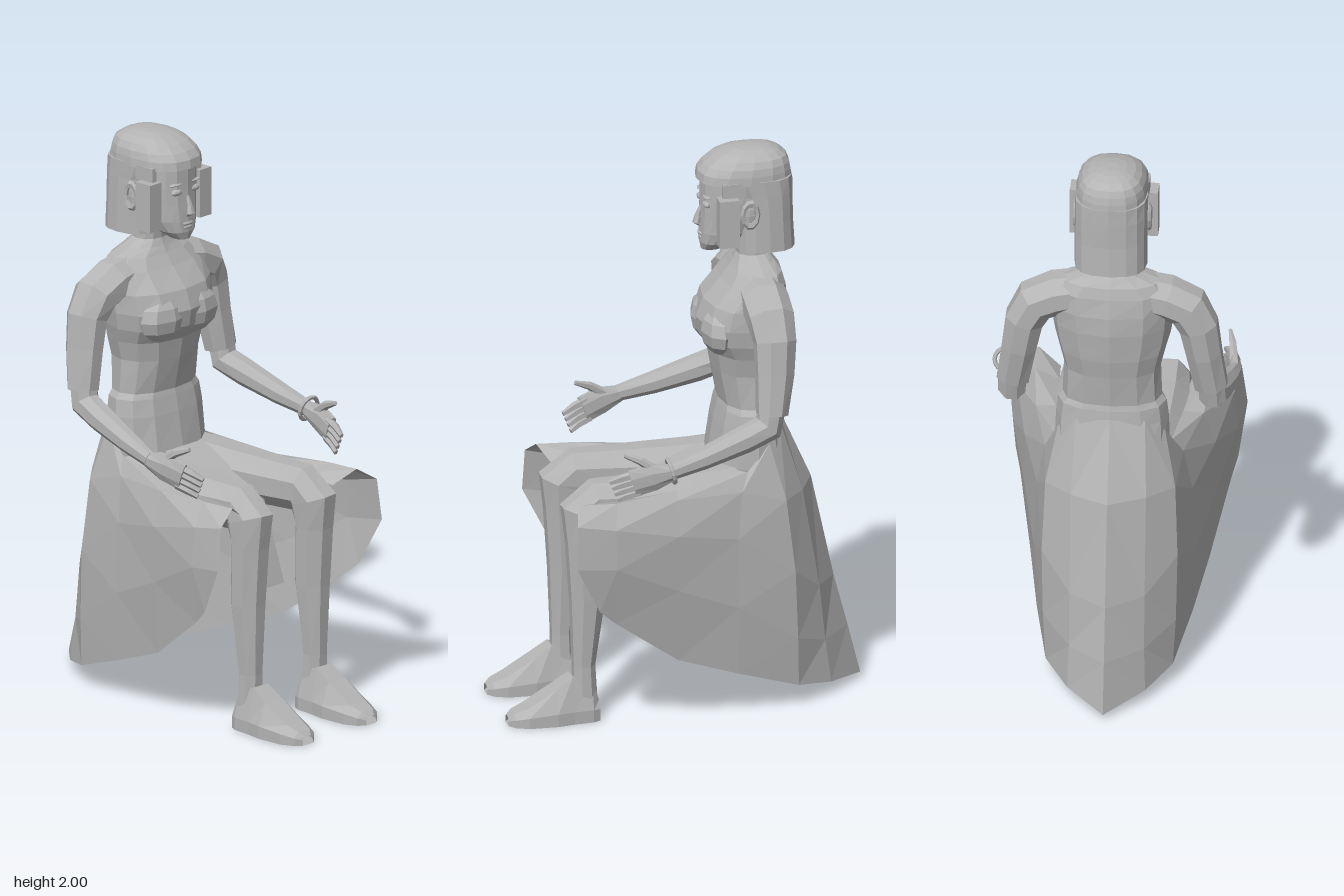
import * as THREE from 'three';

const grey = new THREE.MeshStandardMaterial({ color: 0xb4b4b4, side: THREE.DoubleSide });
grey.name = 'plain grey';

// faceted mesh from shared points and triangle indices
function faceted(name, points, index) {
  const g = new THREE.BufferGeometry().setFromPoints(points);
  g.setIndex(index);
  return mesh(name, g);
}
function mesh(name, geometry) {
  const g = geometry.index ? geometry.toNonIndexed() : geometry;
  g.computeVertexNormals();
  const m = new THREE.Mesh(g, grey);
  m.name = name;
  return m;
}

// rings [x, y, z, a, b] swept along their centres; a lies along ref, b across it;
// pow below 1 squares the cross-section
function loft(name, rings, { n = 8, ref = [1, 0, 0], dir = null, turn = Math.PI / n, pow = 1 } = {}) {
  const pts = [], idx = [], k = pow < 1 ? 1 : 1 / Math.cos(turn);
  const c = rings.map(r => new THREE.Vector3(r[0], r[1], r[2]));
  const last = rings.length - 1;
  const round = v => Math.sign(v) * Math.abs(v) ** pow * k;
  rings.forEach((r, i) => {
    const t = dir ? new THREE.Vector3(...dir)
      : c[Math.min(i + 1, last)].clone().sub(c[Math.max(i - 1, 0)]).normalize();
    const side = new THREE.Vector3(...ref);
    side.addScaledVector(t, -side.dot(t)).normalize();
    const nrm = t.clone().cross(side);
    for (let j = 0; j < n; j++) {
      const q = turn + j / n * Math.PI * 2;
      pts.push(c[i].clone().addScaledVector(side, r[3] * round(Math.cos(q)))
        .addScaledVector(nrm, r[4] * round(Math.sin(q))));
    }
  });
  for (let i = 0; i < last; i++) for (let j = 0; j < n; j++) {
    const a = i * n + j, b = i * n + (j + 1) % n;
    idx.push(a, b, b + n, a, b + n, a + n);
  }
  for (let j = 1; j < n - 1; j++) {
    idx.push(0, j + 1, j, last * n, last * n + j, last * n + j + 1);
  }
  return faceted(name, pts, idx);
}
// horizontal rings [y, z, halfWidth, halfDepth]
const stack = (name, rows, n, pow = 1) =>
  loft(name, rows.map(([y, z, a, b]) => [0, y, z, a, b]), { n, turn: 0, pow, dir: [0, 1, 0] });

// open sheet through columns of points
function sheet(name, cols, flip) {
  const h = cols[0].length, idx = [];
  for (let i = 0; i < cols.length - 1; i++) for (let j = 0; j < h - 1; j++) {
    const a = i * h + j, b = a + h;
    if (flip) idx.push(a, b, b + 1, a, b + 1, a + 1);
    else idx.push(a, b + 1, b, a, a + 1, b + 1);
  }
  return faceted(name, cols.flat().map(p => new THREE.Vector3(...p)), idx);
}
function blob(name, [x, y, z], [a, b, c]) {
  return mesh(name, new THREE.SphereGeometry(1, 8, 6).scale(a, b, c).translate(x, y, z));
}

export function createModel() {
  const model = new THREE.Group();
  model.name = 'seatedFigure';
  const body = new THREE.Group();
  body.name = 'body';
  body.position.x = -0.015;
  model.add(body);
  const add = (...m) => body.add(...m);

  // torso and neck
  add(stack('torso', [
    [0.72, -0.2, 0.17, 0.13], [0.87, -0.24, 0.2, 0.14], [1.0, -0.237, 0.195, 0.115],
    [1.06, -0.24, 0.188, 0.105], [1.08, -0.24, 0.172, 0.1], [1.2, -0.235, 0.168, 0.12],
    [1.27, -0.235, 0.185, 0.132], [1.32, -0.222, 0.2, 0.15], [1.38, -0.22, 0.21, 0.158],
    [1.45, -0.232, 0.215, 0.145], [1.52, -0.258, 0.21, 0.108], [1.56, -0.267, 0.17, 0.088],
    [1.585, -0.265, 0.1, 0.072], [1.61, -0.26, 0.062, 0.056], [1.72, -0.25, 0.057, 0.055]], 12, 0.88));

  // head and face
  add(stack('face', [
    [1.632, -0.115, 0.03, 0.035], [1.66, -0.14, 0.064, 0.066], [1.7, -0.17, 0.085, 0.096],
    [1.76, -0.2, 0.097, 0.124], [1.82, -0.205, 0.103, 0.127], [1.92, -0.21, 0.103, 0.132]], 16, 0.85));
  add(loft('nose', [[0, 1.79, -0.081, 0.007, 0.006], [0, 1.755, -0.07, 0.009, 0.012],
    [0, 1.728, -0.064, 0.016, 0.014], [0, 1.717, -0.076, 0.012, 0.008]],
    { n: 6, dir: [0, -1, 0], turn: 0 }));
  add(blob('upperLip', [0, 1.69, -0.08], [0.028, 0.008, 0.011]),
    blob('lowerLip', [0, 1.677, -0.081], [0.023, 0.008, 0.011]));

  // hair: crown with fringe, and the straight bob behind the ears
  add(stack('hairCrown', [
    [1.89, -0.23, 0.126, 0.167], [1.92, -0.231, 0.124, 0.163], [1.945, -0.238, 0.118, 0.15],
    [1.968, -0.248, 0.104, 0.13], [1.985, -0.253, 0.082, 0.1], [1.996, -0.258, 0.052, 0.063],
    [2.0, -0.26, 0.025, 0.03]], 16, 0.78));
  add(stack('hairBob', [
    [1.64, -0.298, 0.126, 0.107], [1.75, -0.295, 0.126, 0.103], [1.84, -0.288, 0.126, 0.11],
    [1.9, -0.272, 0.126, 0.125]], 16, 0.78));

  for (const s of [1, -1]) {
    const side = s > 0 ? 'left' : 'right';
    const mir = rows => rows.map(([x, ...r]) => [x * s, ...r]);

    // face details and side panels
    add(blob(side + 'Eye', [s * 0.043, 1.807, -0.09], [0.026, 0.012, 0.014]),
      blob(side + 'Brow', [s * 0.045, 1.835, -0.091], [0.03, 0.005, 0.013]));
    const panel = new THREE.BoxGeometry(0.057, 0.172, 0.07).translate(s * 0.124, 1.765, -0.147);
    add(mesh(side + 'FacePanel', panel));
    const ear = new THREE.TorusGeometry(0.026, 0.009, 5, 10).rotateY(Math.PI / 2)
      .scale(1, 1.6, 1).translate(s * 0.126, 1.785, -0.226);
    add(mesh(side + 'Ear', ear), blob(side + 'EarInner', [s * 0.118, 1.78, -0.222], [0.012, 0.045, 0.028]));
    // broad, shallow bust
    add(blob(side + 'Bust', [s * 0.075, 1.355, -0.125], [0.11, 0.085, 0.063]));
    // side locks joining fringe and bob
    add(mesh(side + 'HairLock',
      new THREE.BoxGeometry(0.022, 0.05, 0.08).translate(s * 0.112, 1.875, -0.17)));

    // arm: shoulder and short sleeve, forearm, hand
    add(loft(side + 'Sleeve', mir([
      [0.07, 1.51, -0.262, 0.075, 0.066], [0.19, 1.485, -0.262, 0.08, 0.072],
      [0.265, 1.45, -0.264, 0.078, 0.072], [0.302, 1.38, -0.27, 0.07, 0.066],
      [0.32, 1.27, -0.265, 0.064, 0.06], [0.343, 1.13, -0.25, 0.052, 0.056]]), { ref: [0, 0, 1] }));
    add(loft(side + 'Forearm', mir([
      [0.344, 1.16, -0.25, 0.045, 0.045], [0.347, 1.085, -0.235, 0.047, 0.05],
      [0.36, 1.052, -0.15, 0.043, 0.045], [0.38, 1.003, 0, 0.035, 0.036],
      [0.397, 0.968, 0.12, 0.02, 0.027]])));
    add(loft(side + 'Palm', mir([
      [0.397, 0.968, 0.11, 0.019, 0.027], [0.388, 0.952, 0.18, 0.02, 0.047],
      [0.37, 0.928, 0.25, 0.016, 0.048]])));
    for (let i = 0; i < 4; i++) {
      const y = 0.962 - i * 0.022;
      add(loft(side + 'Finger' + (i + 1), mir([
        [0.373, y, 0.235 - i * 0.004, 0.011, 0.013], [0.36, y - 0.016, 0.285 - i * 0.006, 0.01, 0.012],
        [0.345, y - 0.034, 0.325 - i * 0.009, 0.006, 0.008]]), { n: 5 }));
    }
    add(loft(side + 'Thumb', mir([
      [0.388, 0.975, 0.17, 0.014, 0.016], [0.378, 1.012, 0.225, 0.012, 0.013],
      [0.365, 1.032, 0.278, 0.006, 0.007]]), { n: 6 }));

    // leg bent at the knee
    add(loft(side + 'Leg', mir([
      [0.125, 0.78, -0.22, 0.1, 0.1], [0.142, 0.78, 0, 0.094, 0.09],
      [0.15, 0.785, 0.2, 0.08, 0.081], [0.153, 0.787, 0.33, 0.066, 0.08],
      [0.158, 0.755, 0.367, 0.068, 0.088], [0.16, 0.66, 0.372, 0.063, 0.064],
      [0.161, 0.45, 0.362, 0.057, 0.06], [0.161, 0.2, 0.375, 0.042, 0.038],
      [0.161, 0.05, 0.37, 0.046, 0.042]])));
    // foot: wedge of upright sections [z, height, half width], narrower on top
    const foot = [[0.325, 0.07, 0.045], [0.35, 0.14, 0.058], [0.42, 0.162, 0.064],
      [0.48, 0.122, 0.074], [0.58, 0.062, 0.07], [0.625, 0.045, 0.05], [0.645, 0.03, 0.025]];
    const section = ([z, h, w]) => [[-w, 0], [-w, Math.min(h * 0.6, 0.045)], [-w * 0.55, h],
      [w * 0.55, h], [w, Math.min(h * 0.6, 0.045)], [w, 0], [-w, 0]]
      .map(([x, y]) => [s * 0.158 + x, y, z]);
    add(sheet(side + 'Foot', foot.map(section), false));
    add(faceted(side + 'Heel', section(foot[0]).slice(0, 6).map(p => new THREE.Vector3(...p)),
      [0, 1, 2, 0, 2, 3, 0, 3, 4, 0, 4, 5]));

    // skirt half: columns from back centre to the front rim, each waist to hem
    const cols = [
      [[0, 1.03, -0.35], [0, 0.76, -0.47], [0, 0.39, -0.55], [0, 0.2, -0.6], [0, 0.02, -0.645]],
      [[0.12, 1.02, -0.33], [0.13, 0.76, -0.41], [0.13, 0.4, -0.47], [0.13, 0.2, -0.49], [0.135, 0.045, -0.51]],
      [[0.185, 0.96, -0.28], [0.225, 0.76, -0.33], [0.235, 0.5, -0.36], [0.23, 0.25, -0.37], [0.22, 0.075, -0.375]],
      [[0.2, 0.87, -0.2], [0.24, 0.81, -0.17], [0.27, 0.65, -0.15], [0.28, 0.4, -0.15], [0.27, 0.155, -0.15]],
      [[0.22, 0.83, 0.06], [0.29, 0.82, 0.07], [0.33, 0.7, 0.075], [0.33, 0.5, 0.075], [0.31, 0.24, 0.075]],
      [[0.225, 0.81, 0.27], [0.31, 0.835, 0.29], [0.375, 0.76, 0.31], [0.39, 0.62, 0.31], [0.365, 0.415, 0.31]],
      [[0.23, 0.79, 0.39], [0.31, 0.84, 0.43], [0.39, 0.79, 0.45], [0.41, 0.64, 0.455], [0.385, 0.47, 0.37]]];
    add(sheet(side + 'Skirt', cols.map(mir), s < 0));
  }

  // cloth sagging between the thighs
  const lap = [[0.88, -0.1], [0.83, 0.05], [0.76, 0.19], [0.45, 0.295]];
  add(sheet('lapCloth', [-0.09, 0, 0.09].map(x => lap.map(([y, z]) => [x, y, z])), false));

  // bangle on the left wrist
  const bangle = new THREE.TorusGeometry(0.042, 0.008, 6, 16).rotateX(0.25).translate(0.395, 0.972, 0.12);
  add(mesh('bangle', bangle));

  return model;
}
